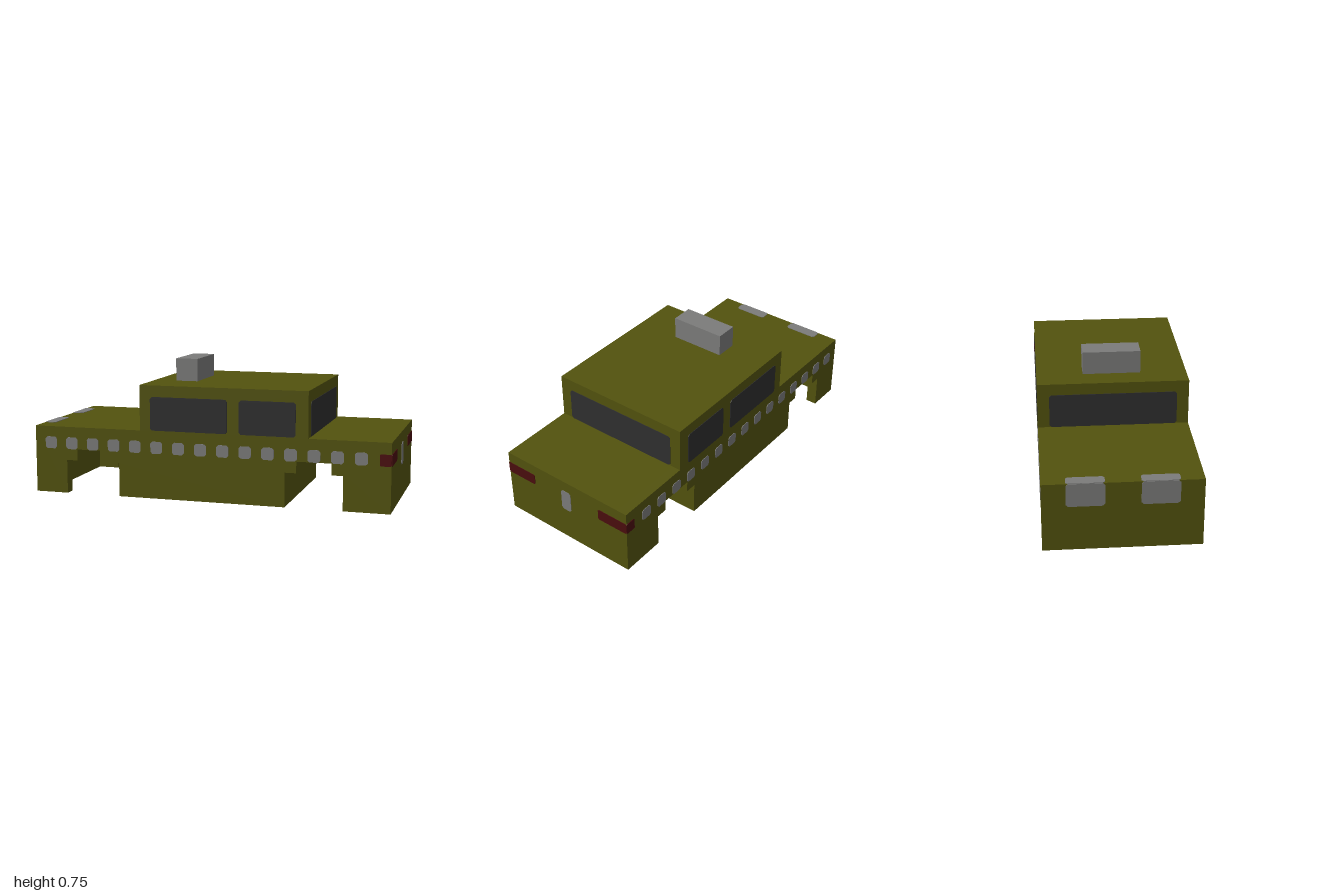
import * as THREE from 'three';

const V = 0.0625;                 // one block
const HZ = 6.5 * V;               // half width
const T = 0.003;                  // thickness of painted plates

export function createModel() {
  const car = new THREE.Group();
  car.name = 'blockyCar';

  const mat = (name, color) => {
    const m = new THREE.MeshStandardMaterial({ color });
    m.name = name;
    return m;
  };
  const olive = mat('olivePaint', 0x52520e);
  const grey = mat('greyTrim', 0x7b7b7a);
  const glass = mat('darkGlass', 0x2f2f2f);
  const red = mat('redLamp', 0x4a0d0e);

  // Box given by its limits
  function box(name, m, x0, x1, y0, y1, z0, z1) {
    const mesh = new THREE.Mesh(new THREE.BoxGeometry(x1 - x0, y1 - y0, z1 - z0), m);
    mesh.position.set((x0 + x1) / 2, (y0 + y1) / 2, (z0 + z1) / 2);
    mesh.name = name;
    car.add(mesh);
  }

  // Thin plate with clipped corners; dir is the outward axis, (u, v) its limits in the face
  function plate(name, m, dir, at, u0, u1, v0, v1, c = 0.011) {
    const s = new THREE.Shape([
      [u0 + c, v0], [u1 - c, v0], [u1, v0 + c], [u1, v1 - c],
      [u1 - c, v1], [u0 + c, v1], [u0, v1 - c], [u0, v0 + c],
    ].map(([x, y]) => new THREE.Vector2(x, y)));
    const mesh = new THREE.Mesh(new THREE.ExtrudeGeometry(s, { depth: T, bevelEnabled: false }), m);
    const off = at > 0 ? 0 : -T;
    if (dir === 'z') mesh.position.z = at + off;
    if (dir === 'x') { mesh.rotation.y = -Math.PI / 2; mesh.position.x = at + off + T; }
    if (dir === 'y') { mesh.rotation.x = -Math.PI / 2; mesh.position.y = at; }
    mesh.name = name;
    car.add(mesh);
  }

  // Side walls with stepped wheel arches
  const outline = [
    [-16, 0], [-13, 0], [-13, 3], [-12, 3], [-12, 4], [-9, 4], [-9, 3], [-8, 3], [-8, 0],
    [7, 0], [7, 3], [8, 3], [8, 4], [11, 4], [11, 3], [12, 3], [12, 0], [16, 0], [16, 6], [-16, 6],
  ];
  const wall = new THREE.ExtrudeGeometry(
    new THREE.Shape(outline.map(([x, y]) => new THREE.Vector2(x * V, y * V))),
    { depth: V, bevelEnabled: false });
  for (const z of [-HZ, HZ - V]) {
    const mesh = new THREE.Mesh(wall, olive);
    mesh.position.z = z;
    mesh.name = 'sideWall';
    car.add(mesh);
  }

  // Body between the walls: open wheel bays at both ends
  const iz = HZ - V;
  box('deck', olive, -1, 1, 5 * V, 6 * V, -iz, iz);
  box('noseWall', olive, -1, -1 + V, 0, 5 * V, -iz, iz);
  box('tailWall', olive, 1 - V, 1, 0, 5 * V, -iz, iz);
  box('floorBody', olive, -8 * V, 7 * V, 0, 5 * V, -iz, iz);

  // Cabin and roof sign
  box('cabin', olive, -6 * V, 9 * V, 6 * V, 10 * V, -HZ, HZ);
  box('roofSign', grey, -4 * V, -2 * V, 10 * V, 12 * V, -2.5 * V, 2.5 * V);

  // Windscreens
  for (const x of [-6 * V, 9 * V])
    plate('windscreen', glass, 'x', x, -0.343, 0.343, 0.376, 0.5625);

  for (const s of [-1, 1]) {
    const z = s * HZ;
    // Side windows
    plate('sideWindow', glass, 'z', z, -0.315, 0.12, 0.378, 0.5625);
    plate('sideWindow', glass, 'z', z, 0.185, 0.495, 0.378, 0.5625);

    // Row of squares, also showing inside the wheel bays
    for (let i = 0; i < 15; i++) {
      const x = -0.906 + i * 0.125;
      plate('trimSquare', grey, 'z', z, x - 0.034, x + 0.034, 0.25, 0.317);
      if (x < -0.5 || x > 0.4375)
        plate('innerTrimSquare', grey, 'z', s * (iz - T), x - 0.034, x + 0.034, 0.25, 0.312);
    }

    // Tail lamps wrapping the corner
    const [a, b] = s > 0 ? [0.22, HZ] : [-HZ, -0.22];
    plate('tailLamp', red, 'x', 1, a, b, 0.25, 0.3125, 0.006);
    plate('tailLampSide', red, 'z', z, 0.94, 1, 0.25, 0.3125, 0.004);
    const [c, d] = s > 0 ? [0.22, iz] : [-iz, -0.22];
    plate('innerTailLamp', red, 'x', 1 - V - T, c, d, 0.25, 0.3125, 0.006);

    // Headlamps folding over the bonnet edge
    const [e, f] = s > 0 ? [0.09, 0.285] : [-0.285, -0.09];
    plate('headlamp', grey, 'x', -1, e, f, 0.248, 0.375);
    plate('headlampTop', grey, 'y', 6 * V, -1, -1 + V, -f, -e);
    plate('innerHeadlamp', grey, 'x', -1 + V + T, e, f, 0.248, 0.3125);
  }

  // Tail badge plate
  plate('tailPlate', grey, 'x', 1, -0.032, 0.032, 0.19, 0.314);
  plate('innerTailPlate', grey, 'x', 1 - V - T, -0.032, 0.032, 0.19, 0.312);

  return car;
}
